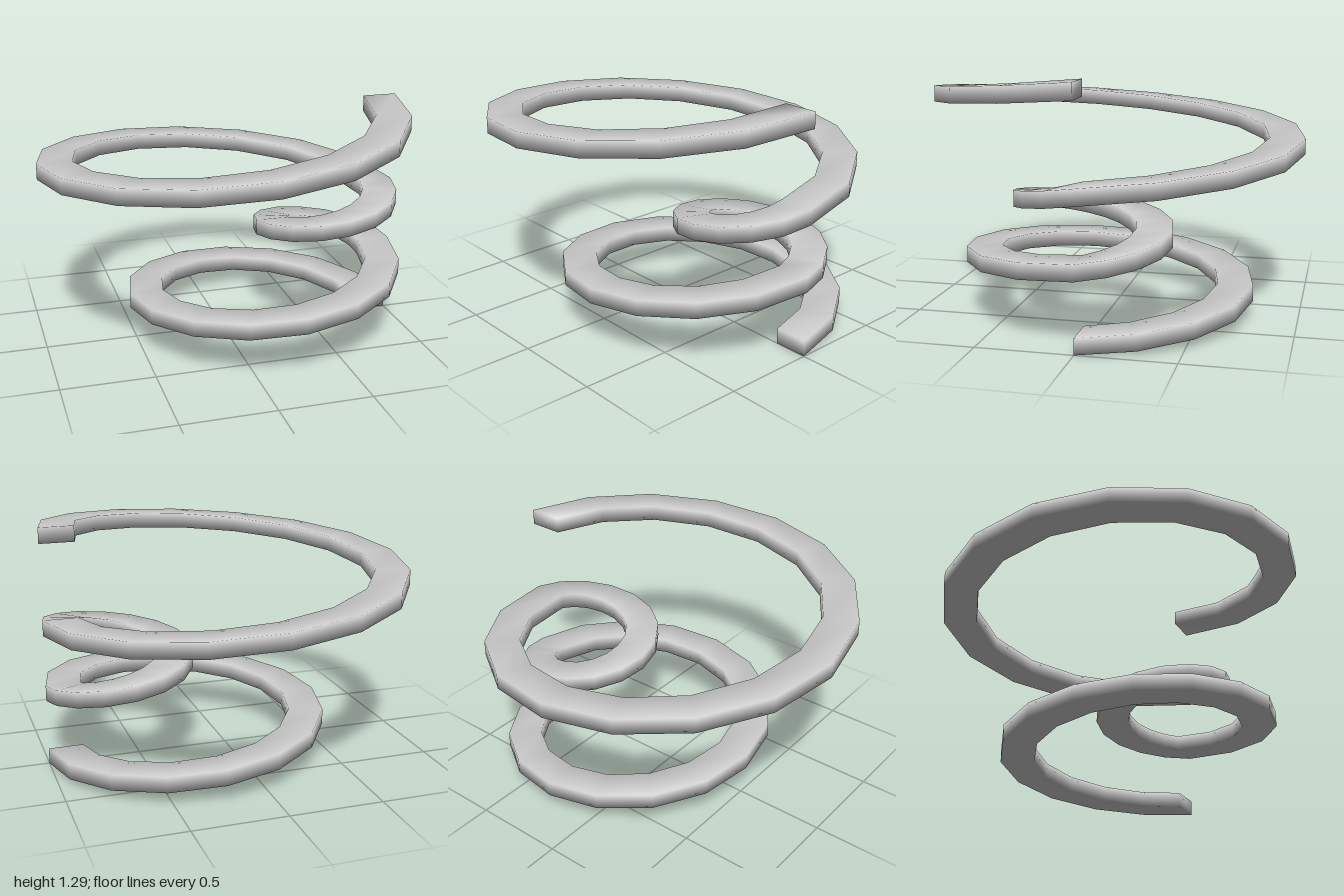
import * as THREE from 'three';

const SEGMENTS = 16;       // sides per turn
const WIDTH = 0.187;       // radial width of the bar
const HEIGHT = 0.085;      // vertical thickness of the bar

// Turns from bottom to top: outer radius, start and end height of the underside.
// All turns touch the same vertical line at x = 1.
const TURNS = [
  { radius: 0.765, from: 0, to: 0.358 },
  { radius: 0.4, from: 0.358, to: 0.718 },
  { radius: 1, from: 0.718, to: 1.208 },
];

function coilGeometry() {
  const positions = [];
  const index = [];

  // Upright rectangular cross-section at one point of a turn
  const addRing = ({ radius, from, to }, t) => {
    const angle = t * Math.PI * 2;
    const y = from + (to - from) * t;
    const inner = radius - WIDTH;
    for (const [r, h] of [[radius, 0], [radius, HEIGHT], [inner, HEIGHT], [inner, 0]]) {
      positions.push(1 - radius + r * Math.cos(angle), y + h, -r * Math.sin(angle));
    }
  };
  addRing(TURNS[0], 0);
  for (const turn of TURNS) {
    for (let i = 1; i <= SEGMENTS; i++) addRing(turn, i / SEGMENTS);
  }

  // Side walls between neighbouring sections
  const last = TURNS.length * SEGMENTS;
  for (let i = 0; i < last; i++) {
    for (let j = 0; j < 4; j++) {
      const k = (j + 1) % 4;
      const a = i * 4 + j, b = a + 4, d = i * 4 + k, c = d + 4;
      index.push(a, b, d, b, c, d);
    }
  }

  // End caps, sharing corners with the walls for soft shading
  const e = last * 4;
  index.push(0, 1, 2, 0, 2, 3, e, e + 2, e + 1, e, e + 3, e + 2);

  const geometry = new THREE.BufferGeometry();
  geometry.setAttribute('position', new THREE.Float32BufferAttribute(positions, 3));
  geometry.setIndex(index);
  geometry.computeVertexNormals();
  return geometry;
}

export function createModel() {
  const group = new THREE.Group();
  group.name = 'spiralSpring';
  const coil = new THREE.Mesh(coilGeometry(), new THREE.MeshStandardMaterial({ color: 0xcccccc }));
  coil.name = 'coil';
  group.add(coil);
  return group;
}
